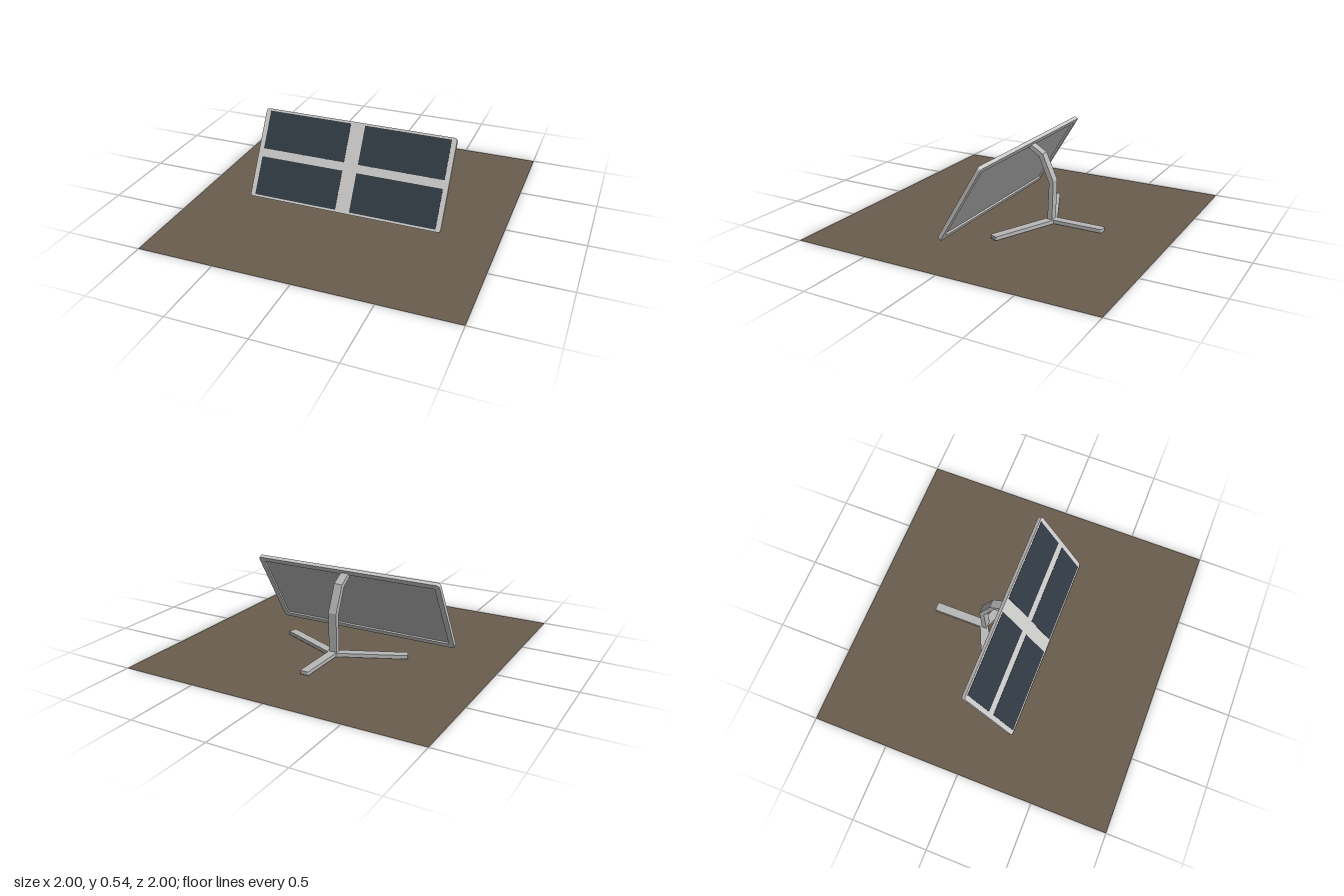
import * as THREE from 'three';

const mat = (name, color, extra = {}) => {
  const m = new THREE.MeshStandardMaterial({ color, ...extra });
  m.name = name;
  return m;
};

// Rectangle with rounded corners, centred on the origin
function roundedRect(w, h, r, Type = THREE.Shape) {
  const s = new Type(), x = w / 2, y = h / 2;
  s.moveTo(-x + r, -y);
  s.lineTo(x - r, -y).quadraticCurveTo(x, -y, x, -y + r);
  s.lineTo(x, y - r).quadraticCurveTo(x, y, x - r, y);
  s.lineTo(-x + r, y).quadraticCurveTo(-x, y, -x, y - r);
  s.lineTo(-x, -y + r).quadraticCurveTo(-x, -y, -x + r, -y);
  return s;
}

const extrude = (shape, depth) =>
  new THREE.ExtrudeGeometry(shape, { depth, bevelEnabled: false, curveSegments: 4 });

export function createModel() {
  const ground = mat('soil brown', 0x6a5d4e, { side: THREE.DoubleSide });
  const frame = mat('frame light grey', 0xcbcac8);
  const metal = mat('stand grey', 0xb8b8b8);
  const cell = mat('cell dark blue', 0x303a43);

  const model = new THREE.Group();
  const add = (parent, name, geo, material, x = 0, y = 0, z = 0) => {
    const mesh = new THREE.Mesh(geo, material);
    mesh.name = name;
    mesh.position.set(x, y, z);
    parent.add(mesh);
    return mesh;
  };

  // Flat ground sheet
  add(model, 'ground', new THREE.PlaneGeometry(2, 2).rotateX(-Math.PI / 2), ground);

  // Tilted panel; its local z = 0 is the front face
  const panel = new THREE.Group();
  panel.name = 'panel';
  panel.position.set(0, 0.287, 0.084);
  panel.rotation.x = -0.539;
  model.add(panel);

  const W = 1.294, H = 0.588;
  add(panel, 'panelFace', extrude(roundedRect(W, H, 0.02), 0.012), frame, 0, 0, -0.012);

  // Raised rim around the recessed back
  const rim = roundedRect(W, H, 0.02);
  rim.holes.push(roundedRect(W - 0.07, H - 0.07, 0.005, THREE.Path));
  add(panel, 'panelRim', extrude(rim, 0.013), frame, 0, 0, -0.025);
  add(panel, 'backPlate', new THREE.BoxGeometry(W - 0.07, H - 0.07, 0.002), metal, 0, 0, -0.013);

  // Four solar cells
  for (const sx of [-1, 1])
    for (const sy of [-1, 1])
      add(panel, 'solarCell', new THREE.BoxGeometry(0.567, 0.253, 0.002), cell,
        sx * 0.3315, sy * 0.1535, 0.0005);

  // Bent post, drawn in the z-y plane and given its width along x
  const post = new THREE.Shape([
    [-0.227, 0.01], [-0.234, 0.287], [-0.158, 0.458], [-0.066, 0.513],
    [-0.052, 0.488], [-0.132, 0.439], [-0.204, 0.272], [-0.195, 0.01],
  ].map(([z, y]) => new THREE.Vector2(z, y)));
  add(model, 'post', extrude(post, 0.056).translate(0, 0, -0.028).rotateY(-Math.PI / 2), metal);

  // Three feet spreading from the bottom of the post
  const foot = (name, length, angle) => {
    const geo = extrude(roundedRect(length, 0.057, 0.008), 0.024)
      .translate(length / 2, 0, 0).rotateX(-Math.PI / 2);
    add(model, name, geo, metal, 0, 0.005, -0.222).rotation.y = angle;
  };
  foot('leftFoot', 0.472, -0.42);
  foot('rightFoot', 0.472, Math.PI + 0.42);
  foot('backFoot', 0.348, Math.PI / 2);

  return model;
}
